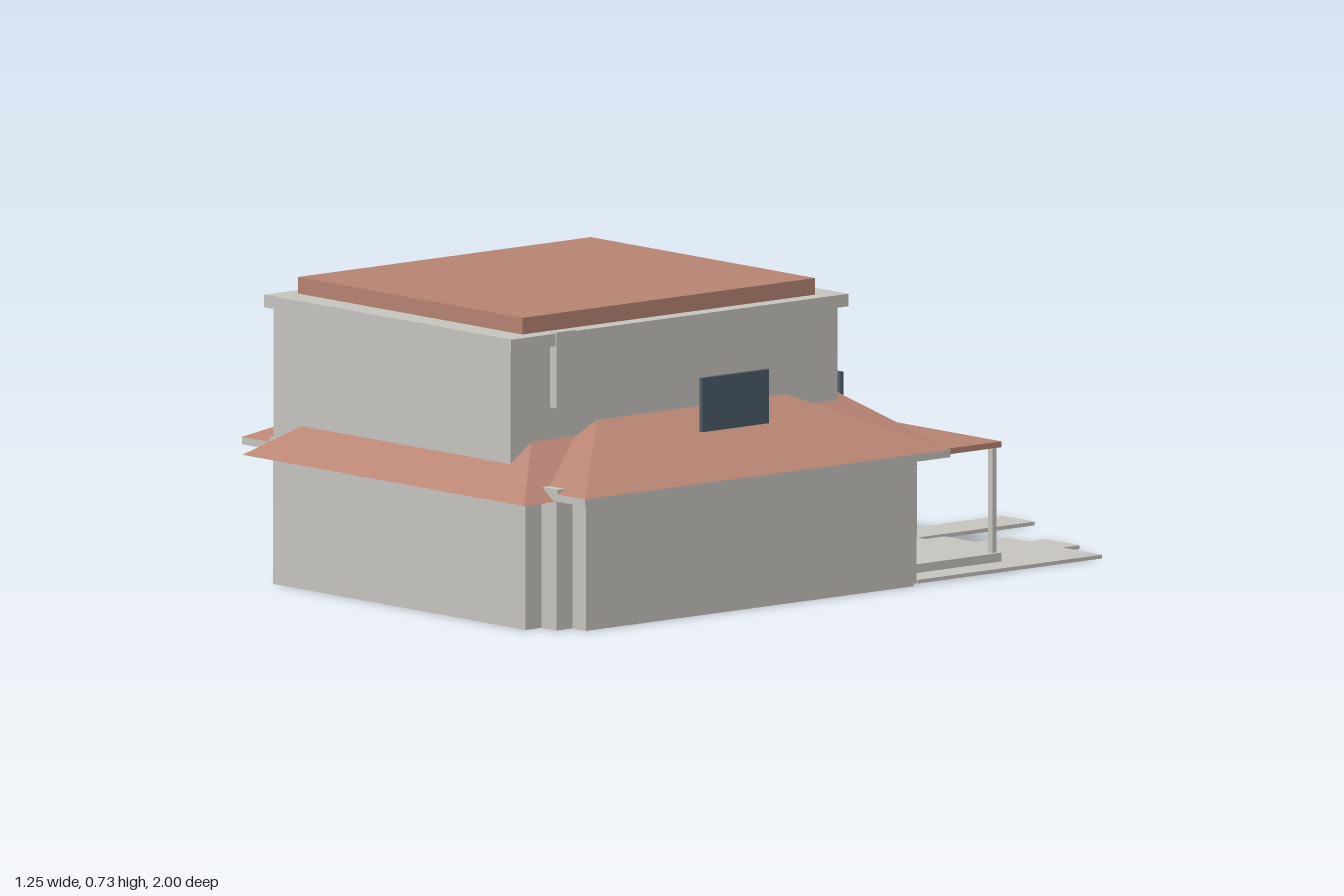
import * as THREE from 'three';

const mat = (name, color) => {
  const m = new THREE.MeshStandardMaterial({ color });
  m.name = name;
  return m;
};

export function createModel() {
  const house = new THREE.Group();
  house.name = 'house';
  const plaster = mat('plaster', 0xc9c7c2);
  const tile = mat('roofTile', 0xb98574);
  const glass = mat('darkGlass', 0x4c5d69);

  const add = (name, geo, material) => {
    const mesh = new THREE.Mesh(geo, material);
    mesh.name = name;
    house.add(mesh);
    return mesh;
  };

  // Box given by its limits along x, y and z
  const block = (name, material, x0, x1, y0, y1, z0, z1) => {
    const geo = new THREE.BoxGeometry(x1 - x0, y1 - y0, z1 - z0);
    geo.translate((x0 + x1) / 2, (y0 + y1) / 2, (z0 + z1) / 2);
    return add(name, geo, material);
  };

  // Hipped roof: a box whose top corners move inward by the inset
  const hipRoof = (name, halfX, z0, z1, y, inset, rise) => {
    const cz = (z0 + z1) / 2;
    const geo = new THREE.BoxGeometry(2 * halfX, rise, z1 - z0);
    const p = geo.attributes.position;
    for (let i = 0; i < p.count; i++) {
      if (p.getY(i) < 0) continue;
      p.setX(i, p.getX(i) - Math.sign(p.getX(i)) * inset);
      p.setZ(i, p.getZ(i) - Math.sign(p.getZ(i)) * inset);
    }
    geo.computeVertexNormals();
    geo.translate(0, y + rise / 2, cz);
    add(name, geo, tile);
  };

  // Framed window on a wall that faces the back
  const backWindow = (name, x, y0, y1, z, w) => {
    block(name + 'Frame', plaster, x - w / 2, x + w / 2, y0, y1, z - 0.006, z);
    const b = 0.01;
    block(name + 'Pane', glass, x - w / 2 + b, x + w / 2 - b, y0 + b, y1 - b, z - 0.009, z);
  };

  // Ground floor with stepped corners
  block('wideWalls', plaster, -0.565, 0.565, 0, 0.315, -0.18, 0.85);
  block('cornerWalls', plaster, -0.515, 0.515, 0, 0.315, -0.23, 0.9);
  block('longWalls', plaster, -0.46, 0.46, 0, 0.315, -0.28, 0.95);
  block('downspout', plaster, 0.515, 0.535, 0, 0.27, -0.215, -0.18);

  // Lower roofs, crossing each other
  hipRoof('longRoof', 0.513, -0.335, 1, 0.31, 0.22, 0.156);
  block('sideEaves', plaster, -0.625, 0.625, 0.312, 0.33, -0.245, 0.905);
  hipRoof('sideRoof', 0.625, -0.245, 0.905, 0.33, 0.29, 0.135);
  for (const s of [-1, 1]) {
    const [a, b] = s < 0 ? [-0.525, -0.468] : [0.468, 0.525];
    block('eaveEndBack', plaster, a, b, 0.312, 0.341, -0.245, -0.215);
    block('eaveEndFront', plaster, a, b, 0.312, 0.341, 0.873, 0.905);
  }

  // Upper floor, eaves slab and flat roof
  block('upperWalls', plaster, -0.515, 0.347, 0.32, 0.66, -0.13, 0.9);
  block('upperEaves', plaster, -0.533, 0.367, 0.655, 0.685, -0.147, 0.915);
  block('flatRoof', tile, -0.492, 0.325, 0.685, 0.725, -0.078, 0.843);
  block('wallShaft', plaster, 0.347, 0.37, 0.505, 0.688, 0.715, 0.775);

  // Glass panels standing over the lower roofs
  block('sidePanel', glass, 0.503, 0.514, 0.43, 0.56, 0.23, 0.44);
  block('backPanel', glass, -0.435, 0.182, 0.35, 0.46, -0.29, -0.281);
  block('backPanelSill', plaster, -0.435, 0.182, 0.335, 0.358, -0.293, -0.27);

  // Back windows and door
  for (const x of [0.15, -0.08, -0.31]) backWindow('upperWindow', x, 0.43, 0.58, -0.13, 0.155);
  for (const x of [0.26, -0.26]) backWindow('groundWindow', x, 0.09, 0.245, -0.28, 0.145);
  block('doorFrame', plaster, -0.06, 0.06, 0.03, 0.245, -0.286, -0.28);
  block('door', tile, -0.05, 0.05, 0.03, 0.235, -0.289, -0.28);

  // Porch
  block('porchFloor', plaster, -0.46, 0.46, 0, 0.03, -0.547, -0.28);
  block('porchRoof', tile, -0.46, 0.458, 0.284, 0.298, -0.55, -0.28);
  for (const x of [-0.44, -0.15, 0.15, 0.44])
    block('porchPost', plaster, x - 0.008, x + 0.008, 0.03, 0.284, -0.543, -0.529);

  // Paving: straight walk and stepped terrace
  block('walk', plaster, -0.063, 0.057, 0, 0.009, -1, -0.595);
  const outline = [[0.085, 0.215], [0.54, 0.215], [0.54, 0.795], [0.397, 0.795], [0.397, 0.848],
    [0.275, 0.848], [0.275, 0.795], [0.195, 0.795], [0.195, 0.695], [0.085, 0.695]];
  const terrace = new THREE.Shape(outline.map(([x, y]) => new THREE.Vector2(x, y)));
  const paving = new THREE.ExtrudeGeometry(terrace, { depth: 0.009, bevelEnabled: false });
  paving.rotateX(-Math.PI / 2);
  add('terrace', paving, plaster);

  return house;
}
